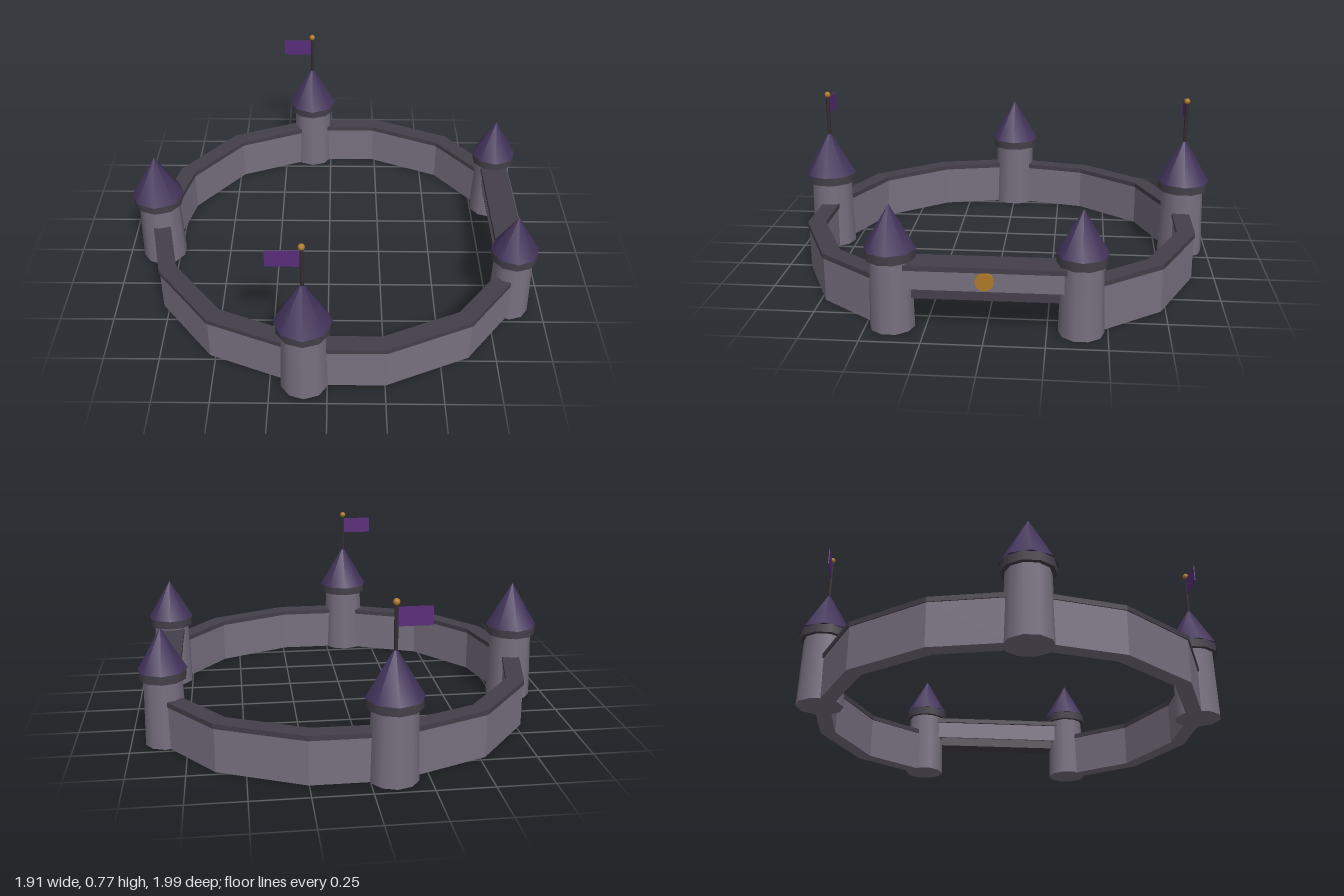
import * as THREE from 'three';

const mat = (color, side = THREE.FrontSide) => new THREE.MeshStandardMaterial({ color, side, roughness: 0.9 });
const stone = mat(0x77707f);
const trim = mat(0x443f49);
const slate = mat(0x43345a);
const gold = mat(0xb07a28);
const iron = mat(0x332e33);
const cloth = mat(0x5a2d7a, THREE.DoubleSide);

function add(parent, name, geometry, material, x = 0, y = 0, z = 0) {
  const mesh = new THREE.Mesh(geometry, material);
  mesh.name = name;
  mesh.position.set(x, y, z);
  parent.add(mesh);
  return mesh;
}

// Mitred strip of constant width along a path of [x, z] points
function strip(path, width, height) {
  const p = path.map(([x, z]) => new THREE.Vector2(x, -z));
  const left = [], right = [];
  p.forEach((q, i) => {
    const dirs = [];
    if (i > 0) dirs.push(q.clone().sub(p[i - 1]).normalize());
    if (i < p.length - 1) dirs.push(p[i + 1].clone().sub(q).normalize());
    const normals = dirs.map((d) => new THREE.Vector2(-d.y, d.x));
    const m = normals[0].clone();
    if (normals[1]) m.add(normals[1]);
    m.normalize();
    m.multiplyScalar(width / 2 / m.dot(normals[0]));
    left.push(q.clone().add(m));
    right.unshift(q.clone().sub(m));
  });
  const geometry = new THREE.ExtrudeGeometry(new THREE.Shape([...left, ...right]), { depth: height, bevelEnabled: false });
  return geometry.rotateX(-Math.PI / 2);
}

// Round tower: tapered shaft, collar and pointed roof
function tower(name, x, z, s) {
  const g = new THREE.Group();
  g.name = name;
  g.position.set(x, 0, z);
  add(g, 'shaft', new THREE.CylinderGeometry(s.top, s.base, s.height, 10), stone, 0, s.height / 2, 0);
  add(g, 'collar', new THREE.CylinderGeometry(s.collar, s.collar, 0.04, 10), trim, 0, s.height + 0.02, 0);
  add(g, 'roof', new THREE.ConeGeometry(s.roof, s.roofHeight, 8), slate, 0, s.height + 0.04 + s.roofHeight / 2, 0);
  return g;
}

// Flag on a pole rising from a roof tip
function addFlag(g) {
  add(g, 'flagPole', new THREE.CylinderGeometry(0.009, 0.009, 0.22, 6), iron, 0, 0.64, 0);
  add(g, 'poleKnob', new THREE.SphereGeometry(0.015, 8, 6), gold, 0, 0.755, 0);
  add(g, 'flag', new THREE.BoxGeometry(0.14, 0.08, 0.004), cloth, -0.078, 0.695, 0);
}

export function createModel() {
  const model = new THREE.Group();
  model.name = 'castleRing';

  const large = { base: 0.107, top: 0.098, height: 0.32, collar: 0.118, roof: 0.125, roofHeight: 0.212 };
  const small = { base: 0.095, top: 0.087, height: 0.305, collar: 0.105, roof: 0.109, roofHeight: 0.187 };

  // Curtain wall, one half of the ring
  const half = [[-0.815, 0.08], [-0.745, 0.39], [-0.503, 0.695], [-0.1, 0.86], [0.245, 0.86], [0.605, 0.70], [0.797, 0.453]];

  model.add(tower('rearTower', -0.83, 0, large));
  for (const s of [1, -1]) {
    const path = half.map(([x, z]) => [x, z * s]);
    add(model, 'wall', strip(path, 0.072, 0.2), stone);
    add(model, 'wallCap', strip(path, 0.082, 0.022), trim, 0, 0.198, 0);
    const flagTower = tower('flagTower', -0.1, 0.87 * s, large);
    addFlag(flagTower);
    model.add(flagTower);
    model.add(tower('gateTower', 0.845, 0.39 * s, small));
  }

  // Bridge over the gate opening
  const gate = new THREE.Group();
  gate.name = 'gate';
  gate.position.x = 0.845;
  add(gate, 'gateBeam', new THREE.BoxGeometry(0.11, 0.085, 0.64), stone, 0, 0.23, 0);
  add(gate, 'gateCap', new THREE.BoxGeometry(0.13, 0.022, 0.66), trim, 0, 0.283, 0);
  add(gate, 'gateLintel', new THREE.BoxGeometry(0.09, 0.045, 0.6), trim, 0, 0.167, 0);
  const disc = add(gate, 'gateDisc', new THREE.CylinderGeometry(0.038, 0.038, 0.02, 16), gold, 0.06, 0.235, 0);
  disc.rotation.z = Math.PI / 2;
  model.add(gate);

  return model;
}
